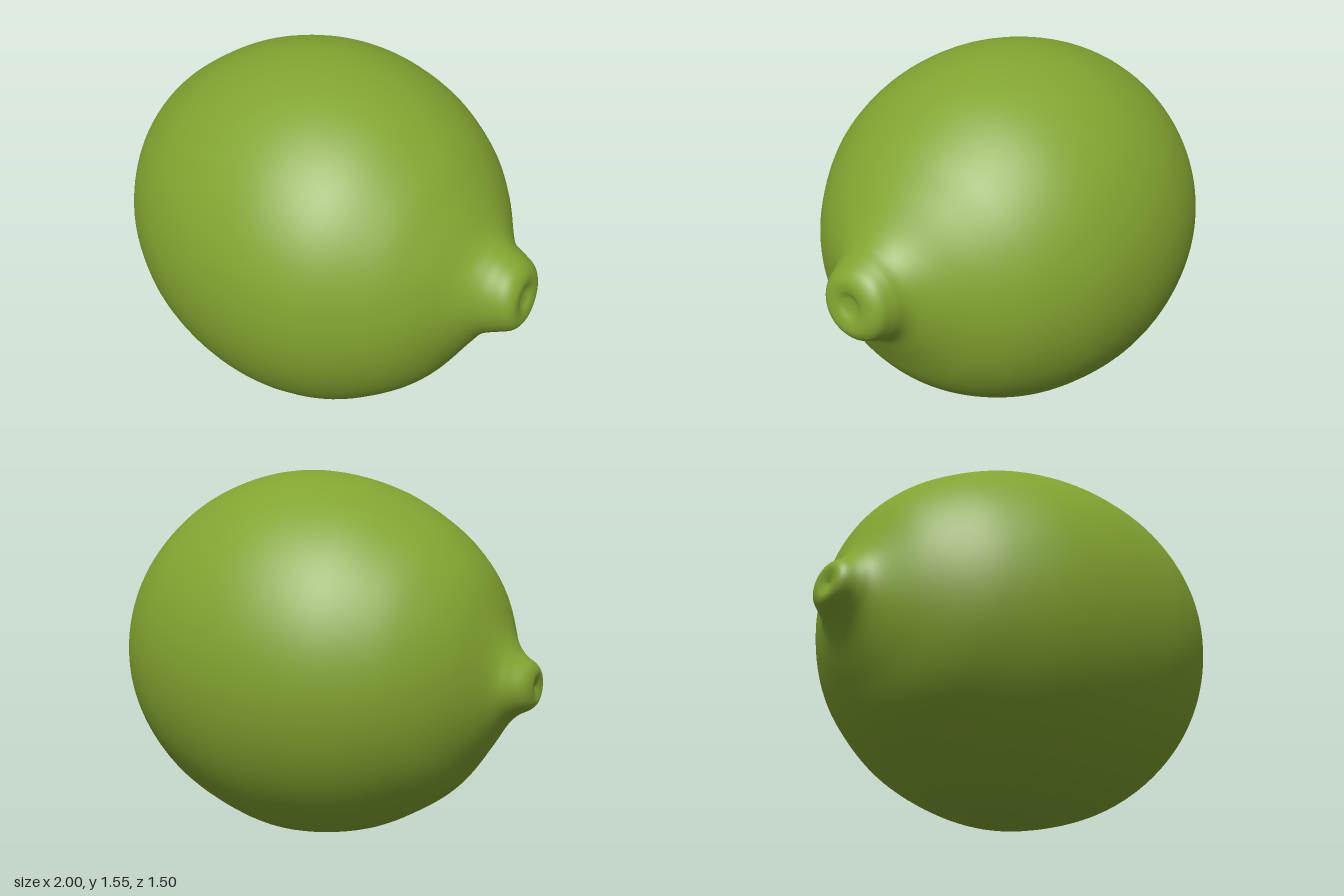
import * as THREE from 'three';

// Cross-sections along the fruit: x, top y, bottom y, back z, front z
const SECTIONS = [
  [-0.985, 0.722, 0.718, 0.008, 0.012],
  [-0.995, 0.755, 0.685, -0.025, 0.045],
  [-0.998, 0.785, 0.66, -0.055, 0.075],
  [-0.98, 0.815, 0.635, -0.1, 0.1],
  [-0.93, 0.855, 0.605, -0.145, 0.125],
  [-0.88, 0.935, 0.55, -0.195, 0.17],
  [-0.8, 1.13, 0.425, -0.35, 0.315],
  [-0.7, 1.26, 0.287, -0.485, 0.443],
  [-0.58, 1.36, 0.188, -0.593, 0.55],
  [-0.4, 1.465, 0.085, -0.695, 0.653],
  [-0.2, 1.53, 0.025, -0.746, 0.717],
  [0, 1.554, 0.006, -0.754, 0.743],
  [0.2, 1.532, 0.04, -0.725, 0.738],
  [0.4, 1.46, 0.113, -0.656, 0.683],
  [0.58, 1.335, 0.232, -0.538, 0.568],
  [0.7, 1.203, 0.36, -0.405, 0.45],
  [0.8, 1.075, 0.535, -0.238, 0.302],
  [0.86, 1.03, 0.635, -0.145, 0.225],
  [0.92, 1.005, 0.68, -0.115, 0.19],
  [0.965, 0.98, 0.71, -0.095, 0.17],
  [0.988, 0.945, 0.745, -0.06, 0.14],
  [0.988, 0.91, 0.785, -0.02, 0.1],
  [0.976, 0.88, 0.815, 0.01, 0.07],
  [0.972, 0.85, 0.846, 0.038, 0.042],
];
const AROUND = 96;
const STEPS = 6;

// Elliptical rings swept through the sections, closed at both ends
function skinGeometry() {
  const curve = (fn) => new THREE.CatmullRomCurve3(SECTIONS.map(fn), false, 'catmullrom', 0.5);
  const centres = curve(([x, t, b, k, f]) => new THREE.Vector3(x, (t + b) / 2, (k + f) / 2));
  const radii = curve(([x, t, b, k, f]) => new THREE.Vector3(x, (t - b) / 2, (f - k) / 2));
  const rings = (SECTIONS.length - 1) * STEPS;
  const positions = [];
  const indices = [];

  for (let i = 0; i <= rings; i++) {
    const c = centres.getPoint(i / rings);
    const r = radii.getPoint(i / rings);
    // The stem end leans, so its lower rim reaches furthest out
    const lean = 0.11 * THREE.MathUtils.smoothstep(c.x, 0.85, 0.96);
    for (let j = 0; j < AROUND; j++) {
      const a = (j / AROUND) * Math.PI * 2;
      const y = c.y + r.y * Math.cos(a);
      // radii keep the half height in y and the half depth in z
      positions.push(c.x - lean * (y - 0.85), y, c.z + r.z * Math.sin(a));
    }
  }
  for (let i = 0; i < rings; i++) {
    for (let j = 0; j < AROUND; j++) {
      const a = i * AROUND + j;
      const b = i * AROUND + ((j + 1) % AROUND);
      indices.push(a, b, a + AROUND, b, b + AROUND, a + AROUND);
    }
  }
  // End caps
  const first = positions.length / 3;
  const start = centres.getPoint(0);
  const end = centres.getPoint(1);
  positions.push(start.x, start.y, start.z, end.x, end.y, end.z);
  const last = rings * AROUND;
  for (let j = 0; j < AROUND; j++) {
    const k = (j + 1) % AROUND;
    indices.push(first, k, j, first + 1, last + j, last + k);
  }

  const geometry = new THREE.BufferGeometry();
  geometry.setAttribute('position', new THREE.Float32BufferAttribute(positions, 3));
  geometry.setIndex(indices);
  geometry.computeVertexNormals();
  return geometry;
}

export function createModel() {
  const group = new THREE.Group();
  group.name = 'citrusFruit';
  const limeGreen = new THREE.MeshStandardMaterial({ color: 0x82a430 });
  limeGreen.name = 'limeGreen';
  const skin = new THREE.Mesh(skinGeometry(), limeGreen);
  skin.name = 'fruitSkin';
  group.add(skin);
  return group;
}
